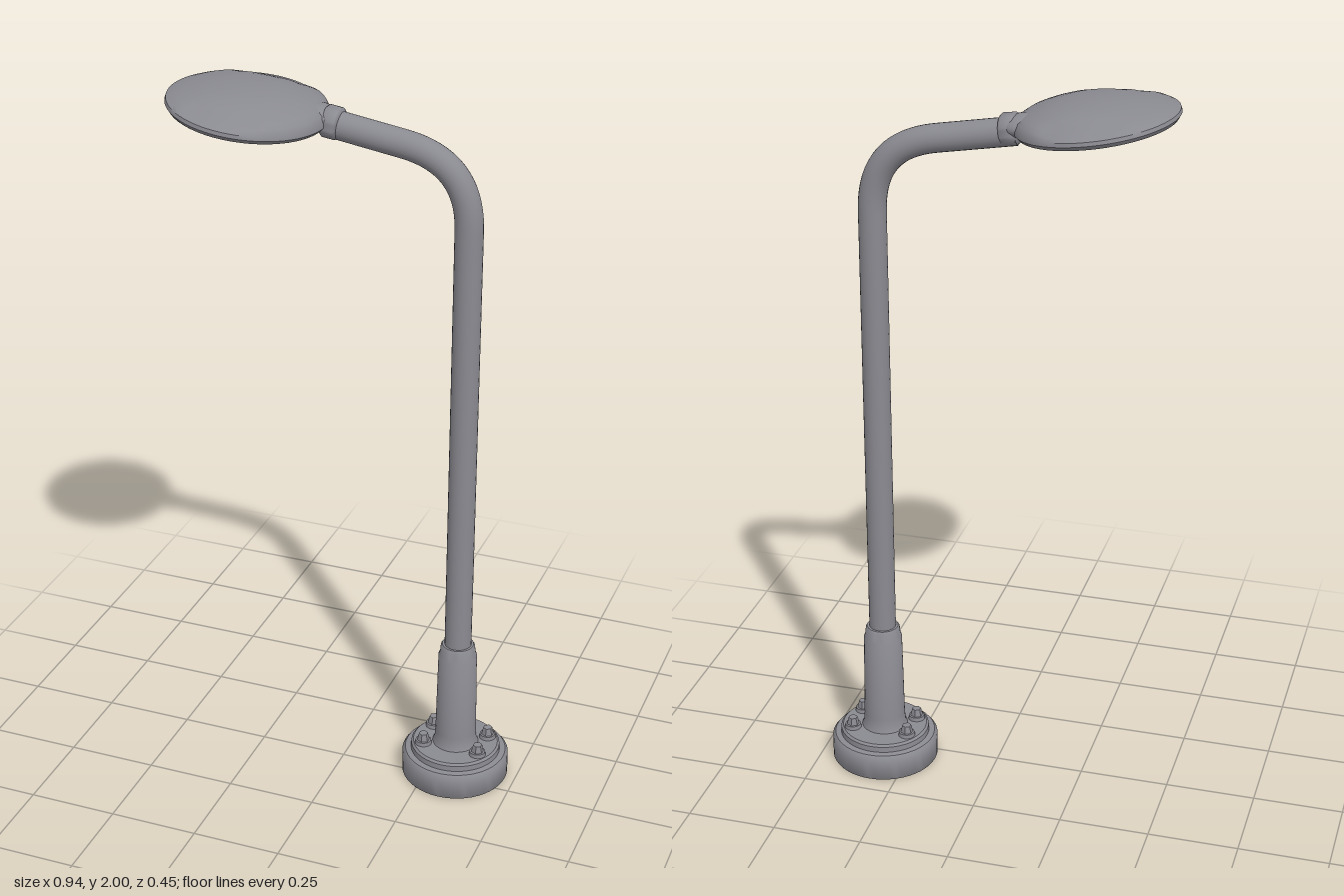
import * as THREE from 'three';
import { toCreasedNormals } from 'three/addons/utils/BufferGeometryUtils.js';

const POLE_X = 0.323, POLE_Z = -0.052, TILT = -0.14;

export function createModel() {
  const model = new THREE.Group();
  model.name = 'streetLamp';
  const metal = new THREE.MeshStandardMaterial({ color: 0x8a8a91 });
  metal.name = 'grey metal';
  const glass = new THREE.MeshStandardMaterial({ color: 0xb8bdb8 });
  glass.name = 'pale lens';

  const add = (name, geometry, material, parent = model) => {
    const mesh = new THREE.Mesh(geometry, material);
    mesh.name = name;
    parent.add(mesh);
    return mesh;
  };
  const lathe = (points, segments = 48) =>
    new THREE.LatheGeometry(points.map(([r, y]) => new THREE.Vector2(r, y)), segments);

  // Round foot with a flange and the sleeve around the pole
  const base = new THREE.Group();
  base.name = 'base';
  base.position.set(POLE_X, 0, POLE_Z);
  model.add(base);
  add('foot', toCreasedNormals(lathe([
    [0, 0], [0.148, 0], [0.151, 0.004], [0.151, 0.066], [0.143, 0.076],
    [0.127, 0.078], [0.126, 0.094], [0.12, 0.1], [0, 0.1],
  ]), 0.7), metal, base);
  add('sleeve', toCreasedNormals(lathe([
    [0.066, 0.098], [0.06, 0.112], [0.058, 0.14], [0.054, 0.388], [0.05, 0.396],
    [0.048, 0.418], [0.044, 0.424], [0.03, 0.424],
  ], 32), 0.7), metal, base);

  // Four hexagonal bolts, each on a washer
  for (const x of [-0.081, 0.081]) {
    for (const z of [-0.047, 0.047]) {
      const washer = add('washer', new THREE.CylinderGeometry(0.022, 0.024, 0.012, 16), metal, base);
      washer.position.set(x, 0.105, z);
      const bolt = toCreasedNormals(new THREE.CylinderGeometry(0.013, 0.018, 0.022, 6), 0.5);
      add('bolt', bolt, metal, base).position.set(x, 0.121, z);
    }
  }

  // Upright pole bending over into the arm
  const path = new THREE.CurvePath();
  const p = (x, y, z = POLE_Z) => new THREE.Vector3(x, y, z);
  path.add(new THREE.LineCurve3(p(POLE_X, 0.1), p(POLE_X, 1.66)));
  path.add(new THREE.CubicBezierCurve3(
    p(POLE_X, 1.66), p(POLE_X, 1.78), p(0.27, 1.853), p(0.14, 1.873, -0.05)));
  path.add(new THREE.LineCurve3(p(0.14, 1.873, -0.05), p(-0.065, 1.907, -0.045)));
  add('poleAndArm', new THREE.TubeGeometry(path, 120, 0.0375, 24), metal);

  // Collar where the arm meets the head
  const collar = add('collar', toCreasedNormals(lathe([
    [0, -0.021], [0.038, -0.021], [0.042, -0.016], [0.042, 0.016], [0.038, 0.021], [0, 0.021],
  ], 32), 0.9), metal);
  collar.scale.z = 1.15;
  collar.rotation.z = Math.PI / 2 + TILT;
  collar.position.set(-0.045, 1.909, -0.041);

  // Tilted oval lamp head
  const head = new THREE.Group();
  head.name = 'head';
  head.position.set(-0.263, 1.922, 0);
  head.rotation.z = TILT;
  model.add(head);

  const shell = lathe([
    [0, 0.006], [0.145, 0.006], [0.15, 0.001], [0.19, 0], [0.204, 0.004], [0.212, 0.015],
    [0.21, 0.025], [0.2, 0.036], [0.184, 0.044], [0.165, 0.05], [0.14, 0.057],
    [0.11, 0.064], [0.075, 0.069], [0.038, 0.072], [0, 0.073],
  ], 72);
  // Widen in z, thicken towards the arm, and step down beyond the centre panel
  const pos = shell.attributes.position;
  for (let i = 0; i < pos.count; i++) {
    const x = pos.getX(i), z = pos.getZ(i) * 1.07;
    let y = pos.getY(i);
    if (y > 0.03) {
      y *= 1 + 0.9 * x;
      const side = THREE.MathUtils.smoothstep(Math.abs(z), 0.13, 0.165);
      y -= 0.006 * side * (1 - THREE.MathUtils.smoothstep(Math.abs(x), 0.07, 0.13));
    }
    pos.setXYZ(i, x, y, z);
  }
  add('shell', toCreasedNormals(shell, 0.8), metal, head);

  // Lens set into the underside
  const lens = add('lens', new THREE.CylinderGeometry(0.143, 0.143, 0.006, 64), glass, head);
  lens.position.y = 0.005;
  lens.scale.z = 1.07;

  // Swelling that blends the head into the collar
  const neck = add('neck', new THREE.SphereGeometry(1, 32, 20), metal, head);
  neck.scale.set(0.06, 0.03, 0.055);
  neck.position.set(0.18, 0.026, -0.042);

  return model;
}
